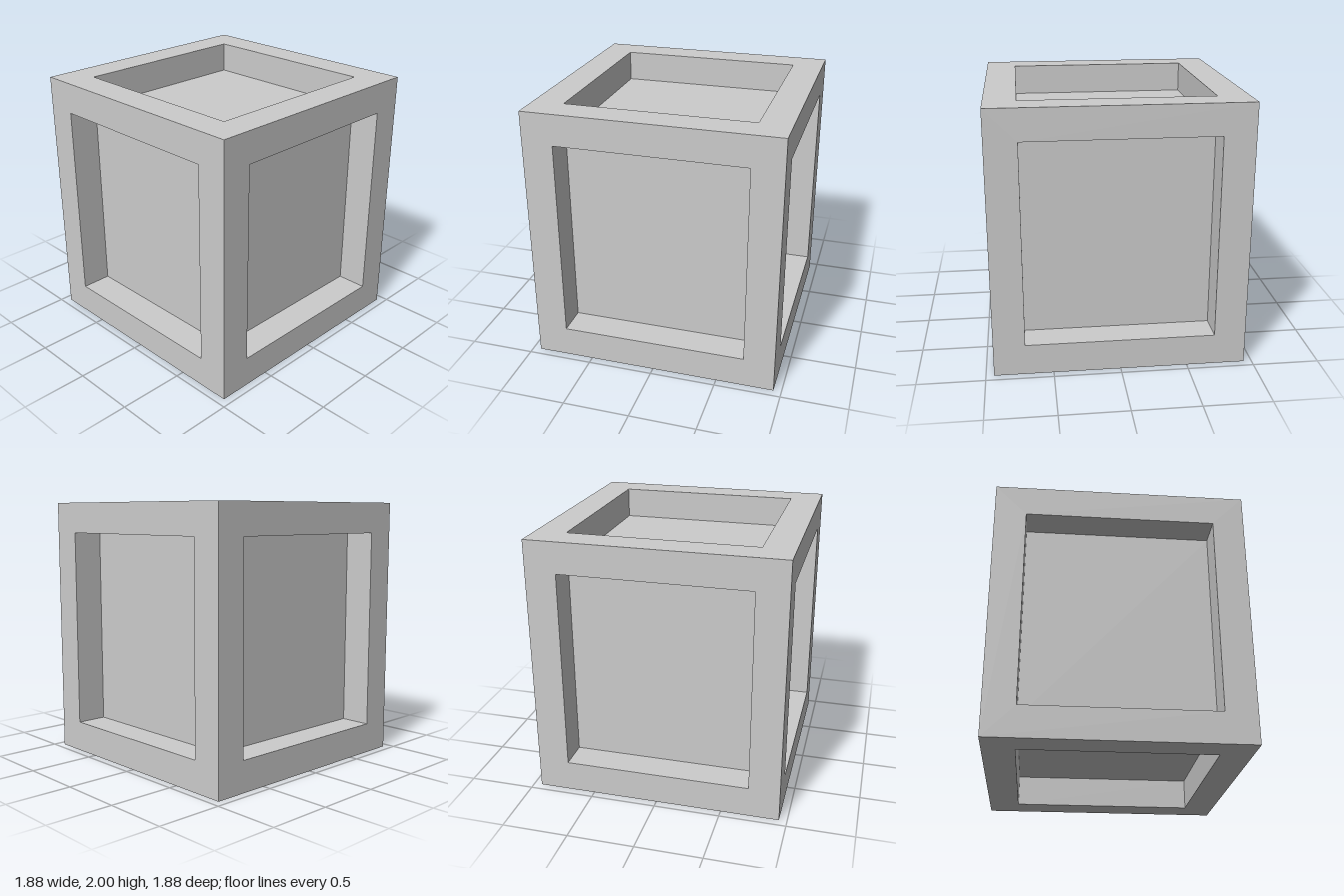
import * as THREE from 'three';
import { mergeGeometries } from 'three/addons/utils/BufferGeometryUtils.js';

const W = 1.88, H = 2, T = 0.235; // width and depth, height, frame thickness = recess depth

// Frame of one side, facing +z at distance d: flat border plus the four recess walls
function frameGeometry(w, h, d) {
  const iw = w - 2 * T, ih = h - 2 * T;
  const rect = (path, a, b) => path
    .moveTo(-a / 2, -b / 2).lineTo(a / 2, -b / 2)
    .lineTo(a / 2, b / 2).lineTo(-a / 2, b / 2).closePath();
  const border = rect(new THREE.Shape(), w, h);
  border.holes.push(rect(new THREE.Path(), iw, ih));
  const parts = [new THREE.ShapeGeometry(border).translate(0, 0, d)];
  for (const s of [-1, 1]) {
    parts.push(
      new THREE.PlaneGeometry(iw, T).rotateX(s * Math.PI / 2).translate(0, s * ih / 2, d - T / 2),
      new THREE.PlaneGeometry(T, ih).rotateY(-s * Math.PI / 2).translate(s * iw / 2, 0, d - T / 2)
    );
  }
  return mergeGeometries(parts);
}

export function createModel() {
  const group = new THREE.Group();
  group.name = 'crate';
  const material = new THREE.MeshStandardMaterial({ color: 0xcccccc, flatShading: true });

  const add = (name, geometry) => {
    const mesh = new THREE.Mesh(geometry, material);
    mesh.name = name;
    mesh.position.y = H / 2;
    group.add(mesh);
    return mesh;
  };

  // Inner box whose faces are the recessed panels
  add('panels', new THREE.BoxGeometry(W - 2 * T, H - 2 * T, W - 2 * T));

  // Four upright frames around the crate
  ['frontFrame', 'leftFrame', 'backFrame', 'rightFrame'].forEach((name, i) => {
    add(name, frameGeometry(W, H, W / 2)).rotation.y = i * Math.PI / 2;
  });

  // Top and bottom frames
  add('topFrame', frameGeometry(W, W, H / 2)).rotation.x = -Math.PI / 2;
  add('bottomFrame', frameGeometry(W, W, H / 2)).rotation.x = Math.PI / 2;

  return group;
}
